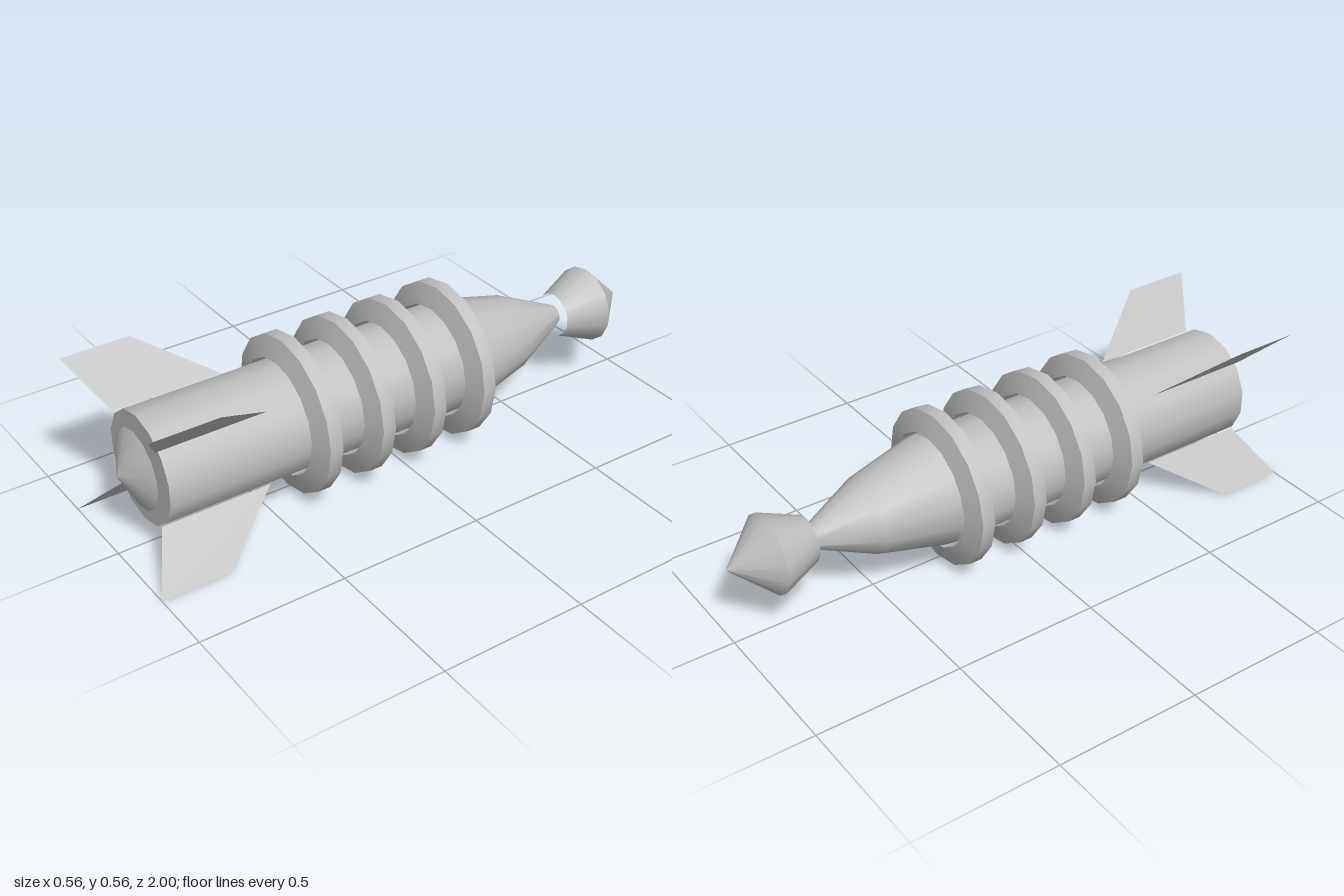
import * as THREE from 'three';
import { toCreasedNormals } from 'three/addons/utils/BufferGeometryUtils.js';

const AXIS_Y = 0.28;

export function createModel() {
  const rocket = new THREE.Group();
  rocket.name = 'rocket';
  const grey = new THREE.MeshStandardMaterial({ color: 0xc0c0c0 });
  grey.name = 'grey metal';
  const finGrey = new THREE.MeshStandardMaterial({ color: 0xc0c0c0, side: THREE.DoubleSide });
  finGrey.name = 'grey fin sheet';

  // Turned part along z; profile is [radius, z] with z increasing on the outside
  function turned(name, profile, sides) {
    const points = profile.map(([r, z]) => new THREE.Vector2(r, z));
    const geometry = new THREE.LatheGeometry(points, sides).rotateX(Math.PI / 2);
    const mesh = new THREE.Mesh(toCreasedNormals(geometry, 0.6), grey);
    mesh.name = name;
    mesh.position.y = AXIS_Y;
    rocket.add(mesh);
  }

  // Warhead tip, open at its rear
  turned('warheadTip', [[0, -1], [0.135, -0.86], [0.077, -0.72]], 14);
  // Tapered nose and tube body with closed tail
  turned('noseCone', [[0.035, -0.72], [0.131, -0.51], [0.188, -0.27]], 14);
  turned('body', [[0.188, -0.27], [0.188, 0.9], [0, 0.9]], 14);
  // Exhaust cone floating just behind the tail
  turned('exhaustCone', [[0.135, 0.912], [0, 0.98]], 14);

  // Four chamfered rings, slightly clear of the body
  [-0.228, -0.029, 0.169, 0.366].forEach((z, i) => {
    turned('ring' + (i + 1), [
      [0.198, z - 0.047], [0.268, z - 0.023], [0.268, z + 0.023],
      [0.198, z + 0.047], [0.198, z - 0.047],
    ], 16);
  });

  // Four sheet fins on the diagonals; shape x = radius, shape y = z
  const outline = [[0.19, 0.53], [0.396, 0.765], [0.396, 1], [0.19, 0.91]];
  const shape = new THREE.Shape(outline.map(([r, z]) => new THREE.Vector2(r, z)));
  const finGeometry = new THREE.ShapeGeometry(shape).rotateX(Math.PI / 2);
  for (let i = 0; i < 4; i++) {
    const fin = new THREE.Mesh(finGeometry, finGrey);
    fin.name = 'fin' + (i + 1);
    fin.position.y = AXIS_Y;
    fin.rotation.z = Math.PI / 4 + i * Math.PI / 2;
    rocket.add(fin);
  }
  return rocket;
}
